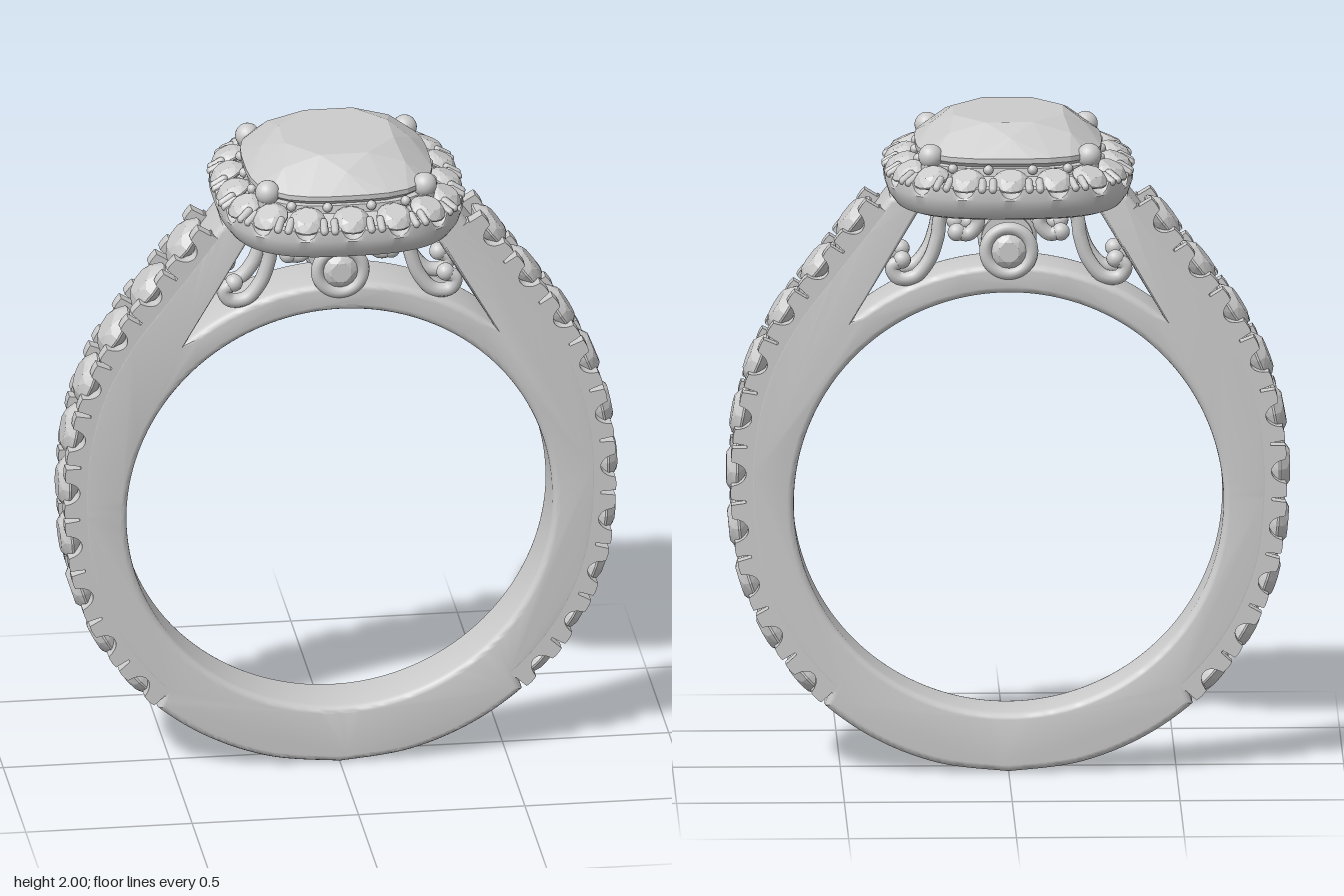
import * as THREE from 'three';
import { toCreasedNormals } from 'three/addons/utils/BufferGeometryUtils.js';
import { ConvexGeometry } from 'three/addons/geometries/ConvexGeometry.js';

const V2 = (x, y) => new THREE.Vector2(x, y);
const V3 = (x, y, z) => new THREE.Vector3(x, y, z);
const UP = V3(0, 1, 0);
const metal = new THREE.MeshStandardMaterial({ color: 0xcccccc, side: THREE.DoubleSide });
const stoneMat = new THREE.MeshStandardMaterial({ color: 0xcccccc, flatShading: true });

function add(parent, name, geometry, material = metal, pos = [0, 0, 0]) {
  const mesh = new THREE.Mesh(geometry, material);
  mesh.name = name;
  mesh.position.set(...pos);
  parent.add(mesh);
  return mesh;
}

function group(parent, name) {
  const g = new THREE.Group();
  g.name = name;
  parent.add(g);
  return g;
}

// Point on a rounded-square outline, half sizes a (x) and b (z), exponent n
function cushion(angle, a, b, n) {
  const s = Math.sin(angle), c = Math.cos(angle);
  const r = (Math.abs(s / a) ** n + Math.abs(c / b) ** n) ** (-1 / n);
  return V2(s * r, c * r);
}

// Faceted stone with its girdle at y = 0
function gem(a, b, n, crown, pavilion, girdle, sides = 16) {
  const pts = [V3(0, -pavilion, 0)];
  const ring = (count, turn, scale, y) => {
    for (let i = 0; i < count; i++) {
      const p = cushion(((i + turn) / count) * Math.PI * 2, a * scale, b * scale, n);
      pts.push(V3(p.x, y, p.y));
    }
  };
  ring(8, 0.5, 0.6, crown);
  ring(8, 0, 0.8, girdle + (crown - girdle) * 0.62);
  ring(sides, 0, 1, girdle);
  ring(sides, 0, 1, 0);
  ring(8, 0.5, 0.5, -pavilion * 0.6);
  return new ConvexGeometry(pts);
}

// Right half of the band's outer edge, from the bottom up to the head
const edgePoints = [];
for (let k = 0; k <= 6; k++) {
  const t = -Math.PI / 2 + (k * Math.PI) / 12;
  edgePoints.push(V2(0.828 * Math.cos(t), 0.82 + 0.82 * Math.sin(t)));
}
edgePoints.push(V2(0.82, 1.04), V2(0.77, 1.24), V2(0.682, 1.41), V2(0.57, 1.56), V2(0.47, 1.69), V2(0.395, 1.79));
const edge = new THREE.SplineCurve(edgePoints);
edge.arcLengthDivisions = 1000;
const edgeLength = edge.getLength();
const edgeNormal = (u) => { const t = edge.getTangentAt(u); return V2(t.y, -t.x); };
const edgeAt = (u, depth) => edge.getPointAt(u).addScaledVector(edgeNormal(u), -depth);

const STONES = 10, U0 = 0.29, U1 = 0.945;
const pitch = (U1 - U0) / (STONES - 1);
const paveStart = U0 - pitch / 2, paveEnd = Math.min(1, U1 + pitch / 2);

function buildBand(root) {
  const band = group(root, 'band');

  // Ring body: pave channel cut in the shoulders, open gallery at the top
  const right = [];
  for (let i = 0; i <= 200; i++) {
    const u = i / 200;
    right.push(edgeAt(u, 0.05 * THREE.MathUtils.smoothstep(u, paveStart - 0.004, paveStart + 0.006)));
  }
  right.push(V2(0.235, 1.765));
  const a0 = Math.acos(0.46 / 0.73);
  for (let i = 0; i < 24; i++) {
    const t = a0 + (i / 24) * (Math.PI / 2 - a0);
    right.push(V2(0.73 * Math.cos(t), 0.82 + 0.73 * Math.sin(t)));
  }
  const left = right.slice(1).reverse().map((p) => V2(-p.x, p.y));
  const shape = new THREE.Shape([...right, V2(0, 1.55), ...left]);
  shape.holes.push(new THREE.Path().absarc(0, 0.82, 0.64, 0, Math.PI * 2, true));
  const body = new THREE.ExtrudeGeometry(shape, {
    depth: 0.15, bevelThickness: 0.025, bevelSize: 0.02, bevelOffset: -0.02, bevelSegments: 4, curveSegments: 96,
  }).translate(0, 0, -0.075);
  add(band, 'bandBody', toCreasedNormals(body, 0.6));

  // Side lips: a scallop at each stone and a narrow slit between stones
  const outer = [], inner = [], steps = 420;
  for (let i = 0; i <= steps; i++) {
    const u = paveStart + ((paveEnd - paveStart) * i) / steps;
    const k = THREE.MathUtils.clamp(Math.round((u - U0) / pitch), 0, STONES - 1);
    const dist = Math.abs(u - U0 - k * pitch) * edgeLength;
    const half = (pitch * edgeLength) / 2;
    let depth = 0;
    if (dist < 0.036) depth = 1.3 * Math.sqrt(0.036 ** 2 - dist ** 2);
    else if (half - dist < 0.007) depth = 0.045;
    else depth = 0.012 * ((dist - 0.036) / (half - 0.036) - 0.5) ** 2;
    outer.push(edgeAt(u, depth));
    if (i % 10 === 0) inner.push(edgeAt(u, 0.085));
  }
  const strip = [...outer, ...inner.reverse()];
  const stone = gem(0.079, 0.079, 2, 0.034, 0.05, 0.006);
  for (const side of [1, -1]) {
    const name = side > 0 ? 'left' : 'right';
    const lip = new THREE.ExtrudeGeometry(new THREE.Shape(strip.map((p) => V2(p.x * side, p.y))),
      { depth: 0.043, bevelEnabled: false });
    add(band, name + 'FrontLip', lip, metal, [0, 0, 0.0565]);
    add(band, name + 'BackLip', lip, metal, [0, 0, -0.0995]);
    for (let k = 0; k < STONES; k++) {
      const u = U0 + k * pitch, p = edgeAt(u, 0.024), n = edgeNormal(u);
      add(band, name + 'BandStone', stone, stoneMat, [p.x * side, p.y, 0])
        .quaternion.setFromUnitVectors(UP, V3(n.x * side, n.y, 0));
    }
  }
}

function buildGallery(root) {
  const gallery = group(root, 'gallery');
  // S-shaped scroll, curled at both ends
  const path = [[0.155, 1.645], [0.12, 1.64], [0.092, 1.675], [0.108, 1.715], [0.155, 1.732], [0.2, 1.7],
    [0.213, 1.63], [0.238, 1.56], [0.282, 1.51], [0.33, 1.508], [0.348, 1.54], [0.318, 1.562]];
  const ball = new THREE.SphereGeometry(0.027, 16, 12);
  const medalStone = gem(0.052, 0.052, 2, 0.022, 0.02, 0.006);
  for (const face of [1, -1]) {
    const z = 0.08 * face;
    for (const side of [1, -1]) {
      const pts = path.map(([x, y]) => V3(x * side, y, z));
      add(gallery, 'scroll', new THREE.TubeGeometry(new THREE.CatmullRomCurve3(pts), 80, 0.022, 10));
      for (const end of [pts[0], pts[pts.length - 1]]) add(gallery, 'scrollEnd', ball, metal, end.toArray());
    }
    // Round medallion in the centre
    add(gallery, 'medallionBack', new THREE.CylinderGeometry(0.078, 0.078, 0.036, 40).rotateX(Math.PI / 2), metal, [0, 1.59, z]);
    add(gallery, 'medallionRim', new THREE.TorusGeometry(0.069, 0.019, 12, 48), metal, [0, 1.59, 0.094 * face]);
    add(gallery, 'medallionStone', medalStone, stoneMat, [0, 1.59, 0.095 * face]).rotation.x = (face * Math.PI) / 2;
  }
}

function buildHead(root) {
  const head = group(root, 'head');
  const COUNT = 18, N = COUNT * 12;
  const outline = [];
  for (let i = 0; i < 120; i++) {
    const p = cushion((i / 120) * Math.PI * 2, 0.372, 0.395, 2.8);
    outline.push(V3(p.x, 0, p.y));
  }
  const loop = new THREE.CatmullRomCurve3(outline, true);
  loop.arcLengthDivisions = 800;
  const at = (u, inset, y) => {
    const t = loop.getTangentAt(u % 1), p = loop.getPointAt(u % 1);
    const out = V3(-t.z, 0, t.x);
    return { pos: V3(p.x - out.x * inset, y, p.z - out.z * inset), out, tan: t };
  };

  // Halo frame: [inset, height, scallop depth] cross-section swept round the outline
  const profile = [[0.13, 1.745, 0], [0.055, 1.74, 0], [0.032, 1.748, 0], [0.012, 1.775, 0], [0.001, 1.808, 0],
    [0.004, 1.842, 0.03], [0.022, 1.848, 0.03], [0.035, 1.832, 0], [0.095, 1.862, 0], [0.1, 1.885, 0],
    [0.13, 1.89, 0], [0.137, 1.86, 0]];
  const verts = [], index = [], M = profile.length;
  for (let i = 0; i < N; i++) {
    const dip = Math.max(0, Math.cos((i / N) * COUNT * Math.PI * 2)) ** 0.6;
    for (const [inset, y, cut] of profile) verts.push(...at(i / N, inset, y - cut * dip).pos.toArray());
    for (let j = 0; j < M; j++) {
      const i2 = (i + 1) % N, j2 = (j + 1) % M;
      const a = i * M + j, b = i2 * M + j, c = i2 * M + j2, d = i * M + j2;
      index.push(a, b, c, a, c, d);
    }
  }
  const frame = new THREE.BufferGeometry();
  frame.setAttribute('position', new THREE.Float32BufferAttribute(verts, 3));
  frame.setIndex(index);
  add(head, 'haloFrame', toCreasedNormals(frame, 0.6));

  // Halo stones lean outward; paired claws and an inner bead sit between them
  const stone = gem(0.055, 0.055, 2, 0.026, 0.035, 0.005);
  const claw = new THREE.CapsuleGeometry(0.012, 0.035, 4, 8);
  const bead = new THREE.SphereGeometry(0.015, 10, 8);
  for (let k = 0; k < COUNT; k++) {
    const s = at(k / COUNT, 0.053, 1.853);
    add(head, 'haloStone', stone, stoneMat, s.pos.toArray())
      .quaternion.setFromUnitVectors(UP, s.out.clone().multiplyScalar(0.47).add(UP).normalize());
    const m = at((k + 0.5) / COUNT, 0.022, 1.85);
    const lean = m.out.clone().multiplyScalar(-1).addScaledVector(UP, 0.6).normalize();
    for (const e of [-0.016, 0.016]) {
      add(head, 'haloClaw', claw, metal, m.pos.clone().addScaledVector(m.tan, e).toArray())
        .quaternion.setFromUnitVectors(UP, lean);
    }
    add(head, 'haloBead', bead, metal, at((k + 0.5) / COUNT, 0.095, 1.882).pos.toArray());
  }

  // Cushion-cut centre stone held by four ball-tipped prongs
  add(head, 'centreStone', gem(0.278, 0.298, 3, 0.1, 0.225, 0.015, 32), stoneMat, [0, 1.9, 0]);
  const ball = new THREE.SphereGeometry(0.037, 20, 14);
  const post = new THREE.CylinderGeometry(0.03, 0.026, 0.12, 14);
  for (const x of [-0.236, 0.236]) for (const z of [-0.222, 0.222]) {
    add(head, 'prongTip', ball, metal, [x, 1.908, z]);
    add(head, 'prongPost', post, metal, [x, 1.845, z]);
  }
}

export function createModel() {
  const root = new THREE.Group();
  root.name = 'haloRing';
  buildBand(root);
  buildGallery(root);
  buildHead(root);
  return root;
}
